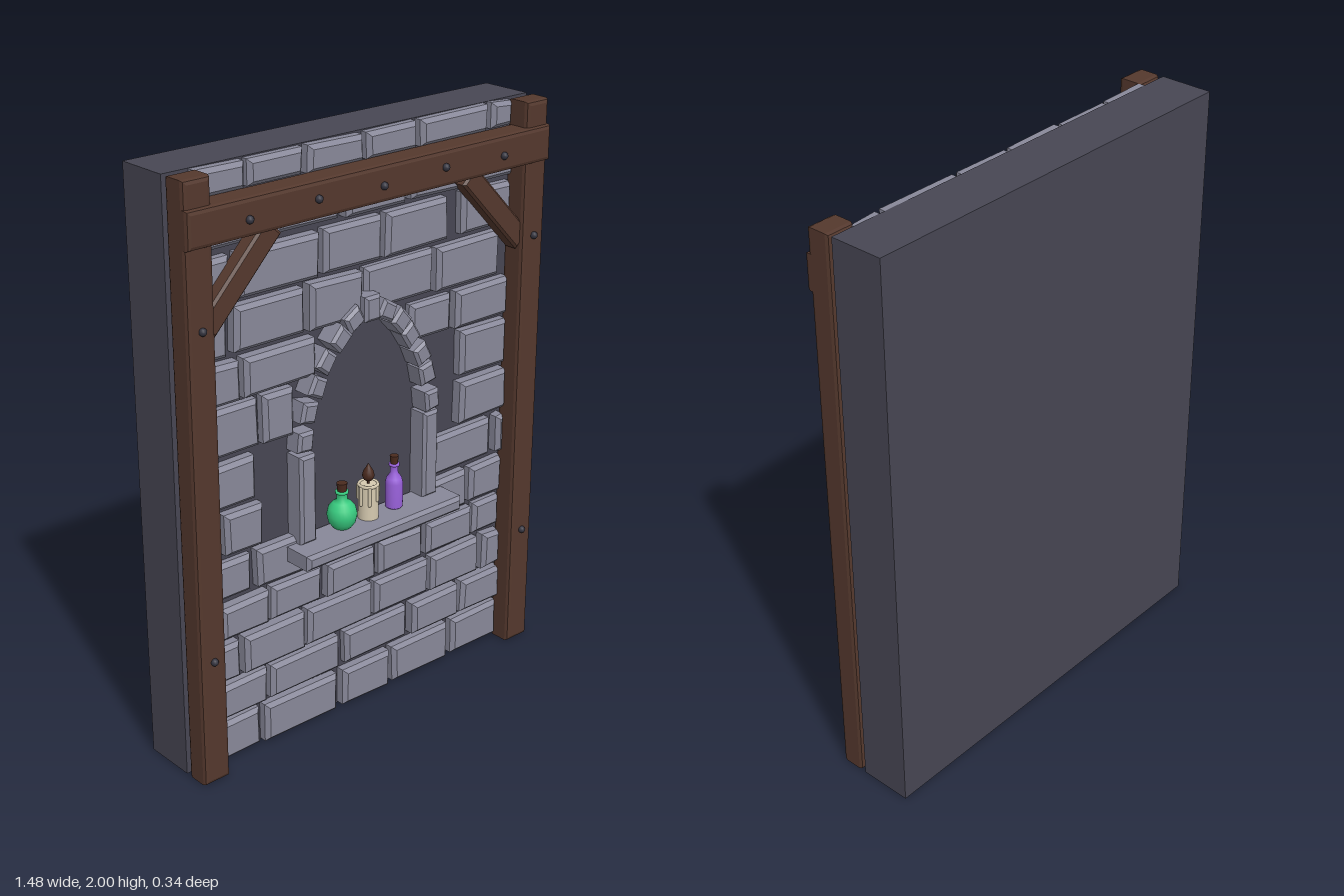
import * as THREE from 'three';

const mat = (name, color, extra) => {
  const m = new THREE.MeshStandardMaterial({ color });
  m.name = name;
  return m;
};

export function createModel() {
  const root = new THREE.Group();
  root.name = 'stoneWallWithNiche';
  const M = {
    wall: mat('mortar', 0x474653),
    stone: mat('stone', 0x888899),
    wood: mat('darkWood', 0x54382d),
    iron: mat('iron', 0x34343f),
    green: mat('greenGlass', 0x38cc80),
    purple: mat('purpleGlass', 0x9a62dc),
    wax: mat('wax', 0xd6cab0),
    cork: mat('cork', 0x4a2a1e),
  };

  // Small seeded generator for uneven stones
  let seed = 7;
  const rnd = () => (seed = (seed * 16807) % 2147483647) / 2147483647;
  const jit = (a) => (rnd() - 0.5) * 2 * a;

  const add = (name, geo, material, x = 0, y = 0, z = 0, parent = root) => {
    const mesh = new THREE.Mesh(geo, material);
    mesh.name = name;
    mesh.position.set(x, y, z);
    parent.add(mesh);
    return mesh;
  };
  const group = (name) => {
    const g = new THREE.Group();
    g.name = name;
    root.add(g);
    return g;
  };

  // Bevelled slab centred in x and y, running from z = 0 to z = d
  const slab = (w, h, d, bevel, uneven = 0, segments = 1) => {
    const a = w / 2 - bevel, b = h / 2 - bevel;
    const pts = [[-a, -b], [a, -b], [a, b], [-a, b]].map(([x, y]) =>
      new THREE.Vector2(x - Math.sign(x) * rnd() * uneven, y - Math.sign(y) * rnd() * uneven));
    const geo = new THREE.ExtrudeGeometry(new THREE.Shape(pts), {
      depth: d - 2 * bevel, bevelEnabled: true, bevelSize: bevel,
      bevelThickness: bevel, bevelSegments: segments,
    });
    return geo.translate(0, 0, bevel);
  };

  // Wall core
  add('wallCore', new THREE.BoxGeometry(1.48, 2, 0.186), M.wall, 0, 1, -0.077);

  // Courses of stone: bottom, top, then left and right edge of each stone
  const courses = [
    [0.0, 0.145, [[-0.65, -0.45], [-0.44, -0.12], [-0.1, 0.12], [0.13, 0.4], [0.42, 0.65]]],
    [0.16, 0.287, [[-0.62, -0.42], [-0.41, -0.11], [-0.085, 0.205], [0.22, 0.445], [0.455, 0.65]]],
    [0.3, 0.437, [[-0.65, -0.53], [-0.52, -0.265], [-0.255, 0.035], [0.05, 0.3], [0.31, 0.545], [0.56, 0.65]]],
    [0.45, 0.573, [[-0.61, -0.41], [-0.4, -0.185], [-0.165, 0.05], [0.07, 0.275], [0.29, 0.51], [0.52, 0.65]]],
    [0.588, 0.727, [[-0.65, -0.47], [-0.455, -0.22], [0.27, 0.475], [0.49, 0.65]]],
    [0.745, 0.89, [[-0.65, -0.595], [-0.58, -0.425], [0.305, 0.59], [0.61, 0.65]]],
    [0.91, 1.065, [[-0.65, -0.45], [0.425, 0.65]]],
    [1.08, 1.247, [[-0.615, -0.43], [-0.42, -0.29], [0.43, 0.65]]],
    [1.26, 1.395, [[-0.65, -0.505], [-0.495, -0.21], [0.2, 0.39], [0.405, 0.65]]],
    [1.41, 1.565, [[-0.65, -0.545], [-0.525, -0.25], [-0.235, -0.012], [0.005, 0.305], [0.315, 0.6]]],
    [1.58, 1.728, [[-0.65, -0.53], [-0.51, -0.19], [-0.17, 0.07], [0.085, 0.36], [0.42, 0.65]]],
    [1.745, 1.895, [[-0.62, -0.38], [-0.36, -0.1], [-0.085, 0.17], [0.19, 0.42], [0.435, 0.65]]],
    [1.91, 2.0, [[-0.65, -0.465], [-0.455, -0.24], [-0.23, -0.005], [0.01, 0.22], [0.235, 0.535], [0.55, 0.65]]],
  ];
  const stones = group('stoneCourses');
  for (const [y0, y1, row] of courses) {
    for (const [x0, x1] of row) {
      const d = 0.055 + jit(0.009);
      add('stone', slab(x1 - x0, y1 - y0, d, 0.014, 0.006), M.stone, (x0 + x1) / 2, (y0 + y1) / 2, 0, stones);
    }
  }

  // Niche surround: jambs, arch stones and keystone
  const arch = group('nicheArch');
  const archStones = [[0.268, 1.055, 5], [0.254, 1.15, 14], [0.222, 1.232, 27], [0.18, 1.305, 36], [0.128, 1.37, 44], [0.07, 1.418, 60]];
  for (const s of [-1, 1]) {
    add('jamb', slab(0.066, 0.31, 0.085, 0.01), M.stone, s * 0.268, 0.857, 0, arch);
    for (const [x, y, deg] of archStones) {
      const block = add('archStone', slab(0.068, 0.075, 0.085 + jit(0.008), 0.01, 0.005), M.stone, s * x, y, 0, arch);
      block.rotation.z = s * THREE.MathUtils.degToRad(deg);
    }
  }
  add('keystone', slab(0.066, 0.085, 0.092, 0.01), M.stone, 0, 1.442, 0, arch);

  // Shelf
  add('shelf', slab(0.68, 0.052, 0.155, 0.012), M.stone, 0, 0.679, 0.01);

  // Timber frame with corner braces
  const frame = group('timberFrame');
  for (const s of [-1, 1]) {
    add('post', slab(0.1, 2, 0.088, 0.014, 0, 2), M.wood, s * 0.69, 1, 0.029, frame);
    const brace = add('brace', slab(0.078, 0.37, 0.06, 0.008), M.wood, s * 0.53, 1.665, 0.042, frame);
    brace.rotation.z = s * 0.765;
  }
  add('crossbeam', slab(1.48, 0.12, 0.1, 0.014, 0, 2), M.wood, 0, 1.855, 0.032, frame);

  // Iron nail heads
  const nails = group('nails');
  const nail = (x, y, z) => add('nail', new THREE.SphereGeometry(0.013, 12, 8), M.iron, x, y, z, nails);
  for (let i = -2; i <= 2; i++) nail(i * 0.26, i % 2 ? 1.86 : 1.85, 0.135);
  for (const x of [-0.69, 0.69]) for (const y of [0.445, 1.545]) nail(x, y, 0.12);

  // Items on the shelf, each turned from a profile
  const lathe = (pts, n = 24) => new THREE.LatheGeometry(pts.map(([r, y]) => new THREE.Vector2(r, y)), n);
  const top = 0.705, depth = 0.066;

  const flask = group('roundFlask');
  flask.position.set(-0.115, top, depth);
  add('flaskBody', lathe([[0, 0], [0.03, 0.002], [0.045, 0.022], [0.051, 0.05], [0.045, 0.075], [0.03, 0.093],
    [0.018, 0.1], [0.017, 0.122], [0.022, 0.124], [0.022, 0.132], [0, 0.132]]), M.green, 0, 0, 0, flask);
  add('flaskCork', new THREE.CylinderGeometry(0.018, 0.015, 0.03, 16), M.cork, 0, 0.145, 0, flask);

  const bottle = group('tallBottle');
  bottle.position.set(0.115, top, depth);
  add('bottleBody', lathe([[0, 0], [0.026, 0], [0.03, 0.006], [0.03, 0.09], [0.026, 0.108], [0.014, 0.125],
    [0.013, 0.15], [0.018, 0.152], [0.018, 0.16], [0, 0.16]]), M.purple, 0, 0, 0, bottle);
  add('bottleCork', new THREE.CylinderGeometry(0.015, 0.012, 0.03, 16), M.cork, 0, 0.173, 0, bottle);

  const candle = group('candle');
  candle.position.set(0, top, depth);
  add('candleBody', new THREE.CylinderGeometry(0.034, 0.035, 0.122, 20), M.wax, 0, 0.061, 0, candle);
  const rim = add('candleRim', new THREE.TorusGeometry(0.032, 0.006, 6, 20), M.wax, 0, 0.12, 0, candle);
  rim.rotation.x = Math.PI / 2;
  for (let i = 0; i < 7; i++) {
    const a = (i / 7) * Math.PI * 2 + 0.3, len = 0.025 + rnd() * 0.04;
    add('waxDrip', new THREE.CapsuleGeometry(0.006, len, 4, 8), M.wax,
      Math.sin(a) * 0.034, 0.115 - len / 2, Math.cos(a) * 0.034, candle);
  }
  add('wick', new THREE.CylinderGeometry(0.004, 0.004, 0.02, 8), M.cork, 0, 0.13, 0, candle);
  add('flame', lathe([[0, 0.13], [0.014, 0.136], [0.021, 0.15], [0.017, 0.167], [0.008, 0.182], [0, 0.196]], 16),
    M.cork, 0, 0, 0, candle);

  return root;
}
